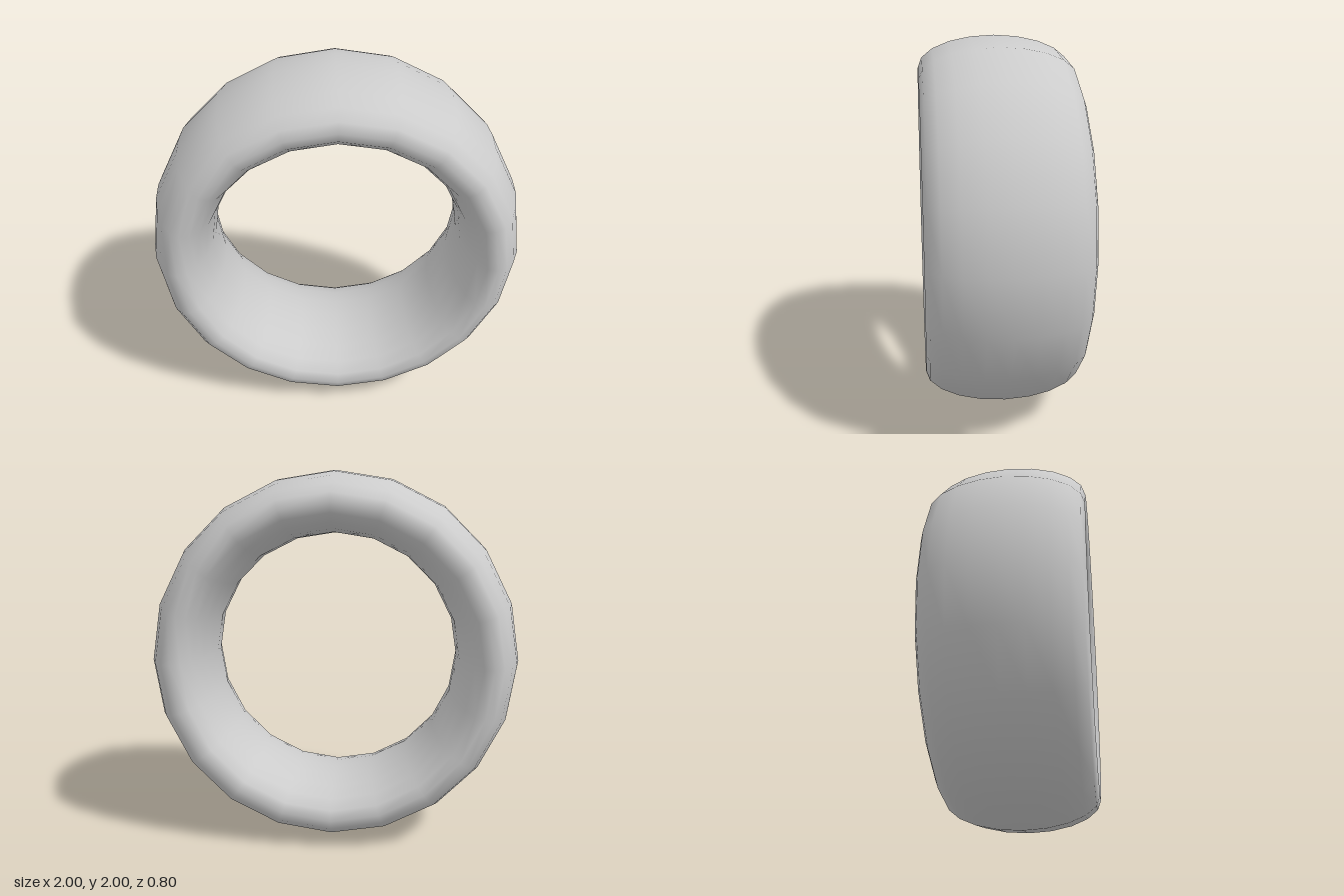
import * as THREE from 'three';

export function createModel() {
  const group = new THREE.Group();
  const outer = 1, inner = 0.67, halfWidth = 0.4;
  const tube = (outer - inner) / 2;

  // Wide band: a 20-sided ring with an elliptical cross-section
  const geometry = new THREE.TorusGeometry(outer - tube, tube, 20, 20);
  geometry.scale(1, 1, halfWidth / tube);

  const ring = new THREE.Mesh(geometry, new THREE.MeshStandardMaterial({ color: 0xcccccc }));
  ring.name = 'ring';
  ring.position.y = outer;
  group.add(ring);
  return group;
}
